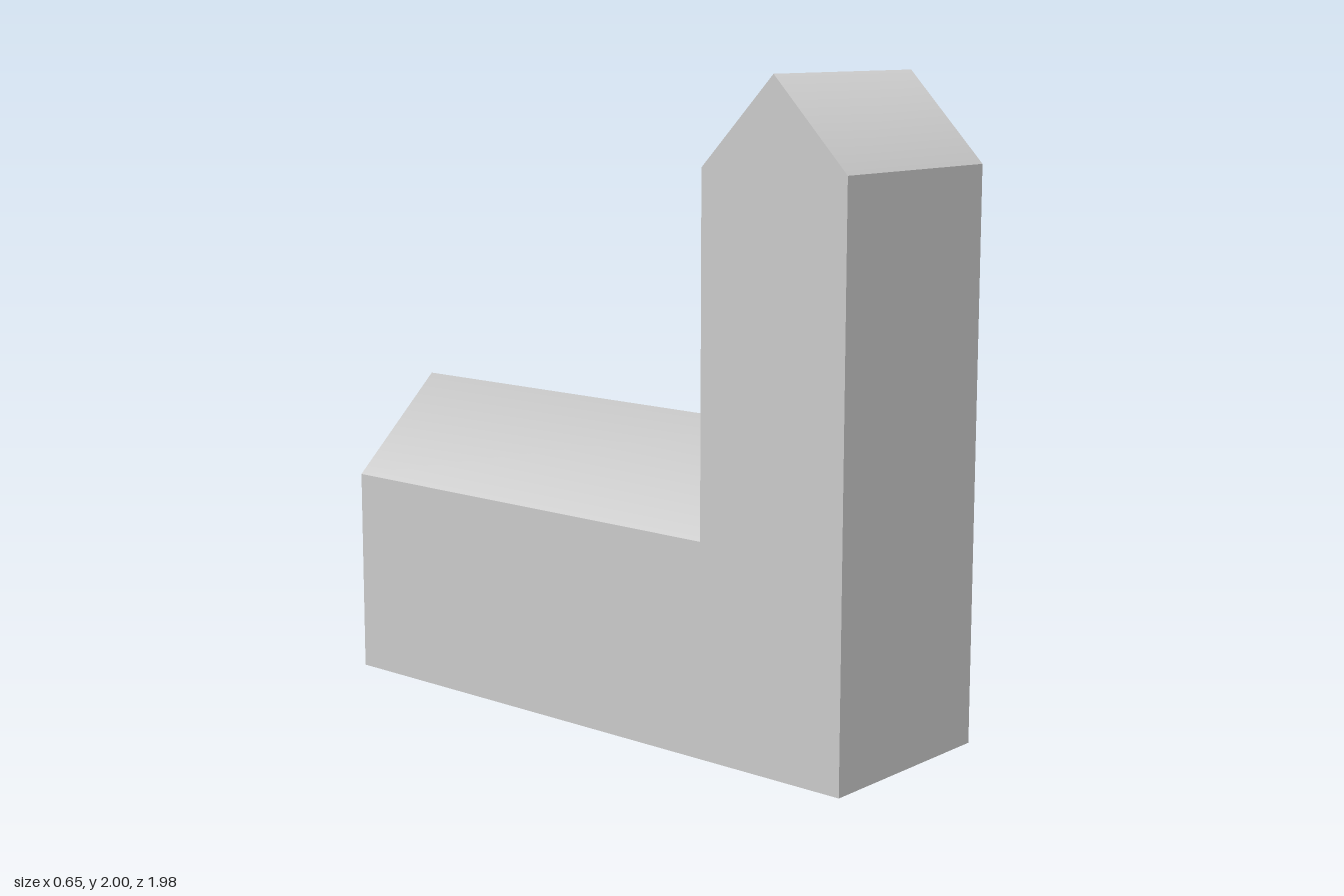
import * as THREE from 'three';

// Gabled block: five-sided profile extruded along z, centred on x and z.
function gabledBlock(name, width, length, eave, ridge) {
  const w = width / 2;
  const profile = new THREE.Shape();
  profile.moveTo(-w, 0);
  profile.lineTo(w, 0);
  profile.lineTo(w, eave);
  profile.lineTo(0, ridge);
  profile.lineTo(-w, eave);
  profile.closePath();

  const geometry = new THREE.ExtrudeGeometry(profile, { depth: length, bevelEnabled: false });
  geometry.translate(0, 0, -length / 2);

  // Smooth shading over the ridge; eaves and gable edges stay sharp.
  const { position, normal } = geometry.attributes;
  for (let i = 0; i < position.count; i++) {
    const onRidge = position.getY(i) > ridge - 0.001;
    if (onRidge && Math.abs(normal.getZ(i)) < 0.5) normal.setXYZ(i, 0, 1, 0);
  }

  const mesh = new THREE.Mesh(geometry, new THREE.MeshStandardMaterial({ color: 0xcccccc }));
  mesh.name = name;
  return mesh;
}

export function createModel() {
  const group = new THREE.Group();
  group.name = 'church';

  const width = 0.65;
  const front = 0.99;
  const back = -0.99;
  const joint = 0.48;

  // Tower at the front, its ridge running side to side
  const tower = gabledBlock('tower', front - joint, width, 1.735, 2);
  tower.rotation.y = Math.PI / 2;
  tower.position.z = (front + joint) / 2;

  // Long low hall behind it, its ridge running front to back
  const hall = gabledBlock('hall', width, joint - back, 0.655, 0.957);
  hall.position.z = (joint + back) / 2;

  group.add(tower, hall);
  return group;
}
